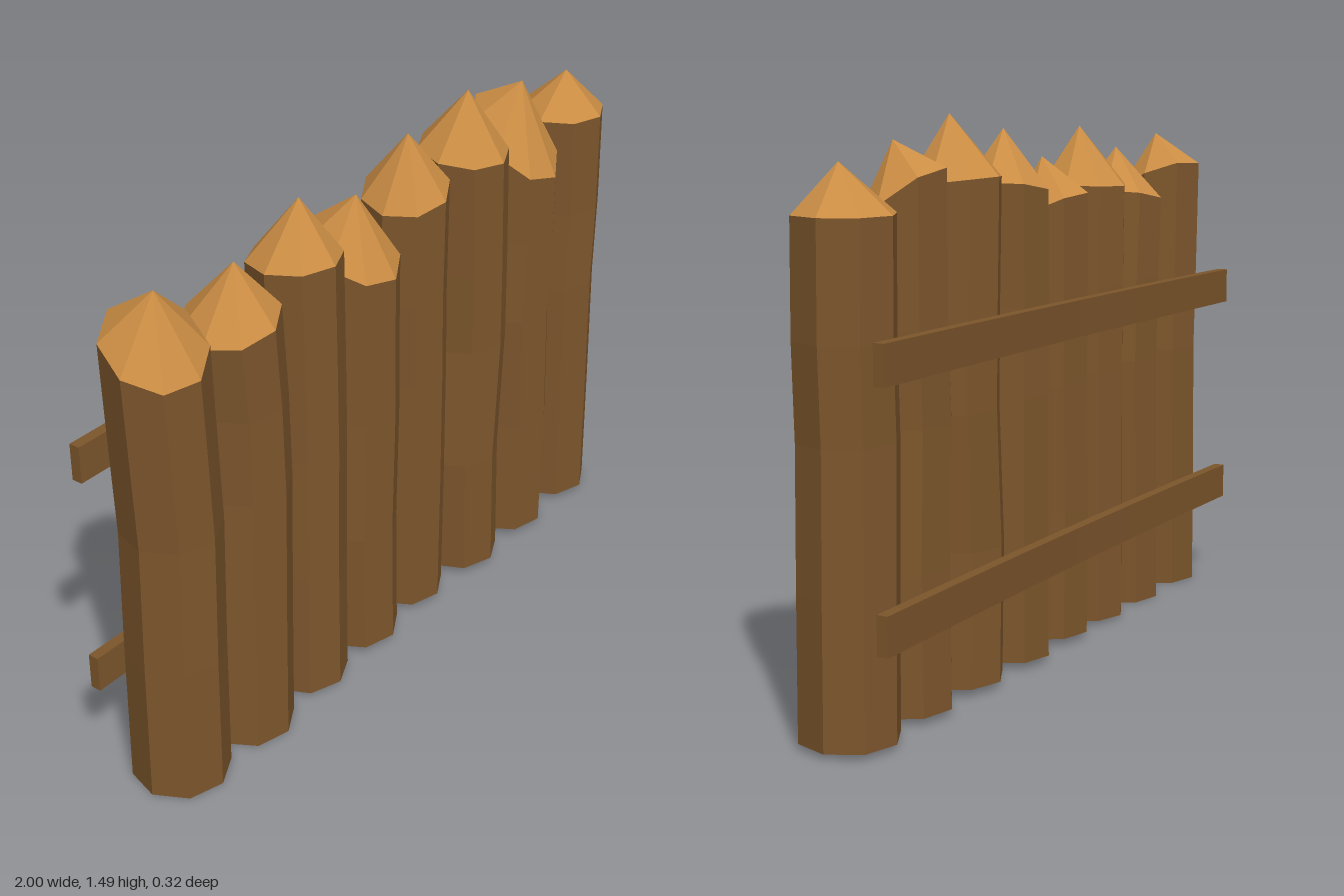
import * as THREE from 'three';

const bark = new THREE.MeshStandardMaterial({ color: 0x7d562c, flatShading: true });
const cutWood = new THREE.MeshStandardMaterial({ color: 0xcb8d44, flatShading: true });

// Per log: centre x, centre z, radius, rim height, rim slope in x and z,
// tip x, tip height, base height, sideways sway of the five rings
const LOGS = [
  [-0.87, 0.02, 0.129, 1.245, 0.19, -0.46, -0.88, 1.39, 0.00, [0, 0.005, 0.015, 0.005, -0.005]],
  [-0.615, 0.027, 0.127, 1.21, 0.22, -0.05, -0.615, 1.36, 0.00, [0, 0.008, 0.018, 0.012, -0.005]],
  [-0.365, 0.018, 0.124, 1.27, 0.0, 0.05, -0.36, 1.43, 0.01, [0, 0, 0.006, 0.004, 0]],
  [-0.13, 0.016, 0.125, 1.2, 0.02, -0.48, -0.13, 1.355, 0.02, [0, -0.006, 0.006, 0.004, 0.005]],
  [0.11, 0.005, 0.121, 1.275, 0.23, -0.1, 0.105, 1.44, 0.02, [0, 0.004, 0.004, 0, 0.005]],
  [0.36, 0.02, 0.128, 1.315, 0.0, -0.12, 0.355, 1.485, 0.02, [0, -0.01, 0.012, 0.008, -0.003]],
  [0.613, 0.02, 0.127, 1.265, 0.0, -0.8, 0.62, 1.43, 0.02, [0, 0.005, -0.008, 0.004, 0.004]],
  [0.865, 0.015, 0.128, 1.27, 0.0, 0.0, 0.86, 1.39, 0.015, [0.005, 0, -0.008, 0, -0.005]],
];
const RING_HEIGHTS = [0, 0.38, 0.74, 0.98];

// Move every vertex of a geometry by a rule
function reshape(geometry, rule) {
  const p = geometry.attributes.position;
  const v = new THREE.Vector3();
  for (let i = 0; i < p.count; i++) {
    rule(v.fromBufferAttribute(p, i));
    p.setXYZ(i, v.x, v.y, v.z);
  }
  geometry.computeVertexNormals();
  return geometry;
}

function addMesh(parent, name, geometry, material) {
  const mesh = new THREE.Mesh(geometry, material);
  mesh.name = name;
  parent.add(mesh);
}

// Crooked eight-sided trunk with a slanted rim, carved to a point on top
function makeLog([x, z, r, rim, slopeX, slopeZ, tipX, tipY, base, sway], index) {
  const log = new THREE.Group();
  log.name = `log${index + 1}`;
  const turn = 0.1 + 0.05 * Math.sin(index * 2.3);
  const rimY = (v) => rim + slopeX * v.x + slopeZ * v.z;

  const trunk = new THREE.CylinderGeometry(r, r, 4, 8, 4).rotateY(turn);
  addMesh(log, 'trunk', reshape(trunk, (v) => {
    const ring = Math.round(v.y + 2);
    v.y = ring === 4 ? rimY(v) : ring === 0 ? base : RING_HEIGHTS[ring];
    v.x += x + sway[ring];
    v.z += z;
  }), bark);

  const point = new THREE.ConeGeometry(r, 1, 8, 1, true).rotateY(turn);
  addMesh(log, 'carvedPoint', reshape(point, (v) => {
    if (v.y > 0) v.set(tipX, tipY, z + 0.013);
    else v.set(v.x + x + sway[4], rimY(v), v.z + z);
  }), cutWood);
  return log;
}

// Thin plank across the back, slightly bowed and climbing towards +x
function makeRail(parent, name, y, rise) {
  const plank = new THREE.BoxGeometry(1.965, 0.1, 0.03, 6, 1, 1);
  addMesh(parent, name, reshape(plank, (v) => {
    v.y += y + rise * v.x;
    v.z += -0.138 - 0.012 * v.x * v.x;
    v.x -= 0.007;
  }), bark);
}

export function createModel() {
  const fence = new THREE.Group();
  fence.name = 'palisade';
  LOGS.forEach((spec, i) => fence.add(makeLog(spec, i)));
  makeRail(fence, 'upperRail', 0.933, 0.014);
  makeRail(fence, 'lowerRail', 0.308, 0.01);
  return fence;
}
